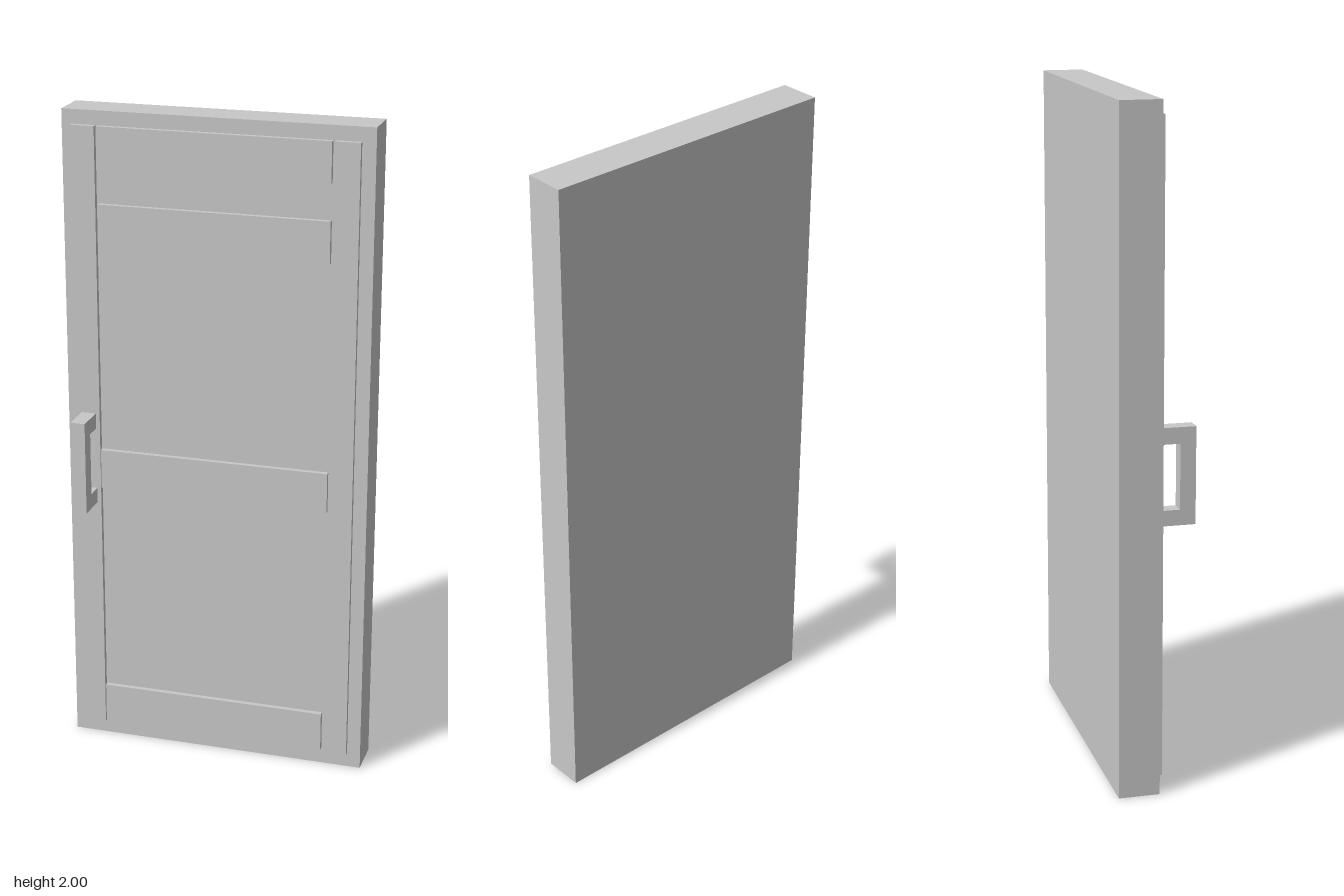
import * as THREE from 'three';

export function createModel() {
  const door = new THREE.Group();
  door.name = 'door';
  const grey = new THREE.MeshStandardMaterial({ color: 0xc8c8c8 });
  grey.name = 'lightGrey';

  // Box given by its limits on each axis
  const box = (name, [x0, x1], [y0, y1], [z0, z1]) => {
    const mesh = new THREE.Mesh(new THREE.BoxGeometry(x1 - x0, y1 - y0, z1 - z0), grey);
    mesh.position.set((x0 + x1) / 2, (y0 + y1) / 2, (z0 + z1) / 2);
    mesh.name = name;
    door.add(mesh);
  };

  // Main leaf
  box('slab', [-0.464, 0.464], [0, 2], [-0.118, 0.004]);

  // Raised upright strips
  const raised = [0.004, 0.019];
  box('rightStile', [-0.433, -0.361], [0.045, 1.957], raised);
  box('leftStile', [0.349, 0.423], [0.045, 1.957], raised);

  // Raised cross rails
  const rails = [
    ['topRail', -0.354, 0.341, 1.835, 1.957],
    ['upperRail', -0.354, 0.341, 1.603, 1.728],
    ['middleRail', -0.359, 0.346, 0.843, 0.967],
    ['bottomRail', -0.358, 0.341, 0.051, 0.174],
  ];
  for (const [name, x0, x1, y0, y1] of rails) box(name, [x0, x1], [y0, y1], raised);

  // C-shaped pull handle: side profile extruded across x
  const profile = new THREE.Shape([
    [0.019, 0.796], [0.118, 0.796], [0.118, 1.083], [0.019, 1.083],
    [0.019, 1.035], [0.072, 1.035], [0.072, 0.842], [0.019, 0.842],
  ].map(([z, y]) => new THREE.Vector2(z, y)));
  const handle = new THREE.Mesh(
    new THREE.ExtrudeGeometry(profile, { depth: 0.045, bevelEnabled: false }), grey);
  handle.rotation.y = -Math.PI / 2;
  handle.position.x = -0.373;
  handle.name = 'handle';
  door.add(handle);

  return door;
}
